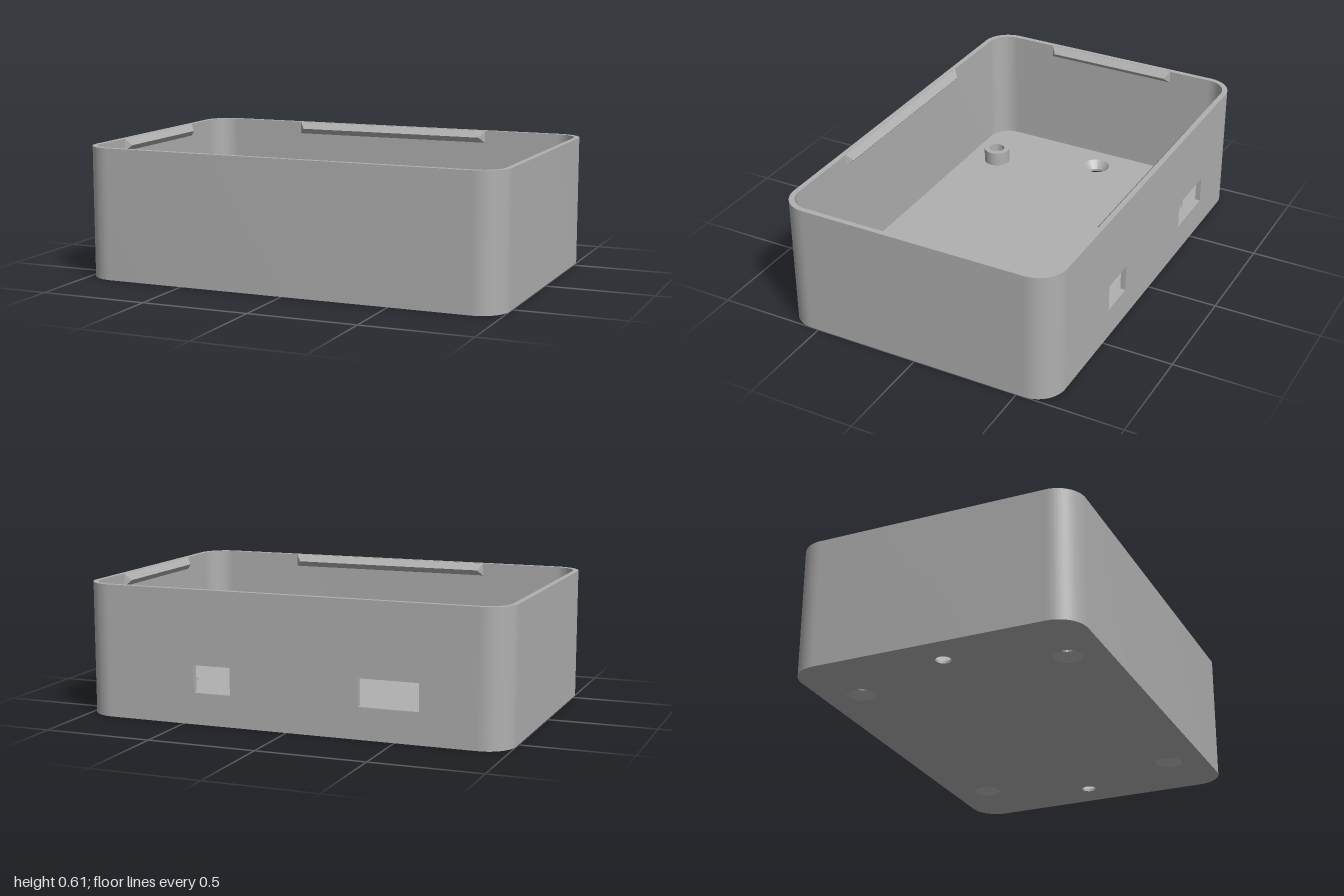
import * as THREE from 'three';
import { toCreasedNormals } from 'three/addons/utils/BufferGeometryUtils.js';
import { ConvexGeometry } from 'three/addons/geometries/ConvexGeometry.js';

const W = 1, D = 0.667, H = 0.61;      // half width, half depth, height
const R = 0.13, T = 0.025;             // corner radius, wall thickness
const FLOOR = 0.05;
const CX = W - R, CZ = D - R;          // corner arc centres
const BOSSES = [[-0.655, -0.49], [0.655, -0.49], [-0.655, 0.49], [0.655, 0.49]];
const SINKS = [[-0.835, 0], [0.835, 0]];
const CORNERS = [[-CX, CZ], [-CX, -CZ], [CX, -CZ], [CX, CZ]];

const gray = new THREE.MeshStandardMaterial({ color: 0xb0b0b0 });
gray.name = 'gray plastic';

function add(parent, name, geometry) {
  const mesh = new THREE.Mesh(geometry, gray);
  mesh.name = name;
  parent.add(mesh);
  return mesh;
}

// Rounded corner arcs, running from the back left round the front
function traceCorners(shape, radius, reverse) {
  const order = [0, 1, 2, 3];
  if (reverse) order.reverse();
  for (const i of order) {
    const a = (i + 1) * Math.PI / 2, b = a + Math.PI / 2;
    shape.absarc(...CORNERS[i], radius, reverse ? b : a, reverse ? a : b, reverse);
  }
}

// Flat floor face with round holes
function floorFace(bossHole, sinkHole) {
  const shape = new THREE.Shape();
  traceCorners(shape, R - T, false);
  const punch = (list, r) => list.forEach(([x, z]) => {
    const hole = new THREE.Path();
    hole.absarc(x, z, r, 0, Math.PI * 2, true);
    shape.holes.push(hole);
  });
  punch(BOSSES, bossHole);
  punch(SINKS, sinkHole);
  return new THREE.ShapeGeometry(shape, 16);
}

function lathe(profile) {
  const points = profile.map(([r, y]) => new THREE.Vector2(r, y));
  return toCreasedNormals(new THREE.LatheGeometry(points, 40).toNonIndexed(), 0.5);
}

// Triangular snap ridge with tapered ends, its back on z = 0
function ridgeGeometry(half) {
  const points = [];
  for (const s of [-1, 1]) {
    points.push(
      new THREE.Vector3(s * half, H - 0.001, 0),
      new THREE.Vector3(s * half, 0.55, 0),
      new THREE.Vector3(s * (half - 0.025), 0.577, 0.026));
  }
  return new ConvexGeometry(points);
}

export function createModel() {
  const model = new THREE.Group();
  model.name = 'openEnclosure';

  // Left, front and right walls with all four corners
  const ring = new THREE.Shape();
  traceCorners(ring, R, false);
  traceCorners(ring, R - T, true);
  const ringGeo = new THREE.ExtrudeGeometry(ring, { depth: H, bevelEnabled: false, curveSegments: 16 });
  ringGeo.rotateX(-Math.PI / 2);
  add(model, 'walls', toCreasedNormals(ringGeo, 0.5));

  // Back wall with two port openings
  const back = new THREE.Shape();
  back.moveTo(-CX, 0).lineTo(CX, 0).lineTo(CX, H).lineTo(-CX, H).closePath();
  for (const [x0, x1] of [[-0.61, -0.335], [0.27, 0.447]]) {
    const port = new THREE.Path();
    port.moveTo(x0, 0.145).lineTo(x0, 0.27).lineTo(x1, 0.27).lineTo(x1, 0.145).closePath();
    back.holes.push(port);
  }
  const backGeo = new THREE.ExtrudeGeometry(back, { depth: T, bevelEnabled: false });
  add(model, 'backWall', backGeo.translate(0, 0, -D));

  // Floor, upper and lower faces
  add(model, 'floorTop', floorFace(0.06, 0.067).rotateX(-Math.PI / 2).translate(0, FLOOR, 0));
  add(model, 'floorBottom', floorFace(0.063, 0.035).rotateX(Math.PI / 2));

  // Raised screw bosses, countersunk from below
  const bossGeo = lathe([[0.065, FLOOR], [0.065, 0.12], [0.038, 0.12], [0.038, FLOOR],
    [0.03, FLOOR], [0.03, 0.037], [0.063, 0]]);
  BOSSES.forEach(([x, z]) => add(model, 'screwBoss', bossGeo).position.set(x, 0, z));

  // Mounting holes, countersunk from above
  const sinkGeo = lathe([[0.067, FLOOR], [0.035, 0.012], [0.035, 0]]);
  SINKS.forEach(([x, z]) => add(model, 'mountingHole', sinkGeo).position.set(x, 0, z));

  // Snap ridges inside the rim
  const longRidge = ridgeGeometry(0.5), shortRidge = ridgeGeometry(0.33);
  for (const s of [-1, 1]) {
    const long = add(model, 'longSnapRidge', longRidge);
    long.position.z = s * (D - T);
    long.rotation.y = s > 0 ? Math.PI : 0;
    const short = add(model, 'shortSnapRidge', shortRidge);
    short.position.x = s * (W - T);
    short.rotation.y = -s * Math.PI / 2;
  }
  return model;
}
